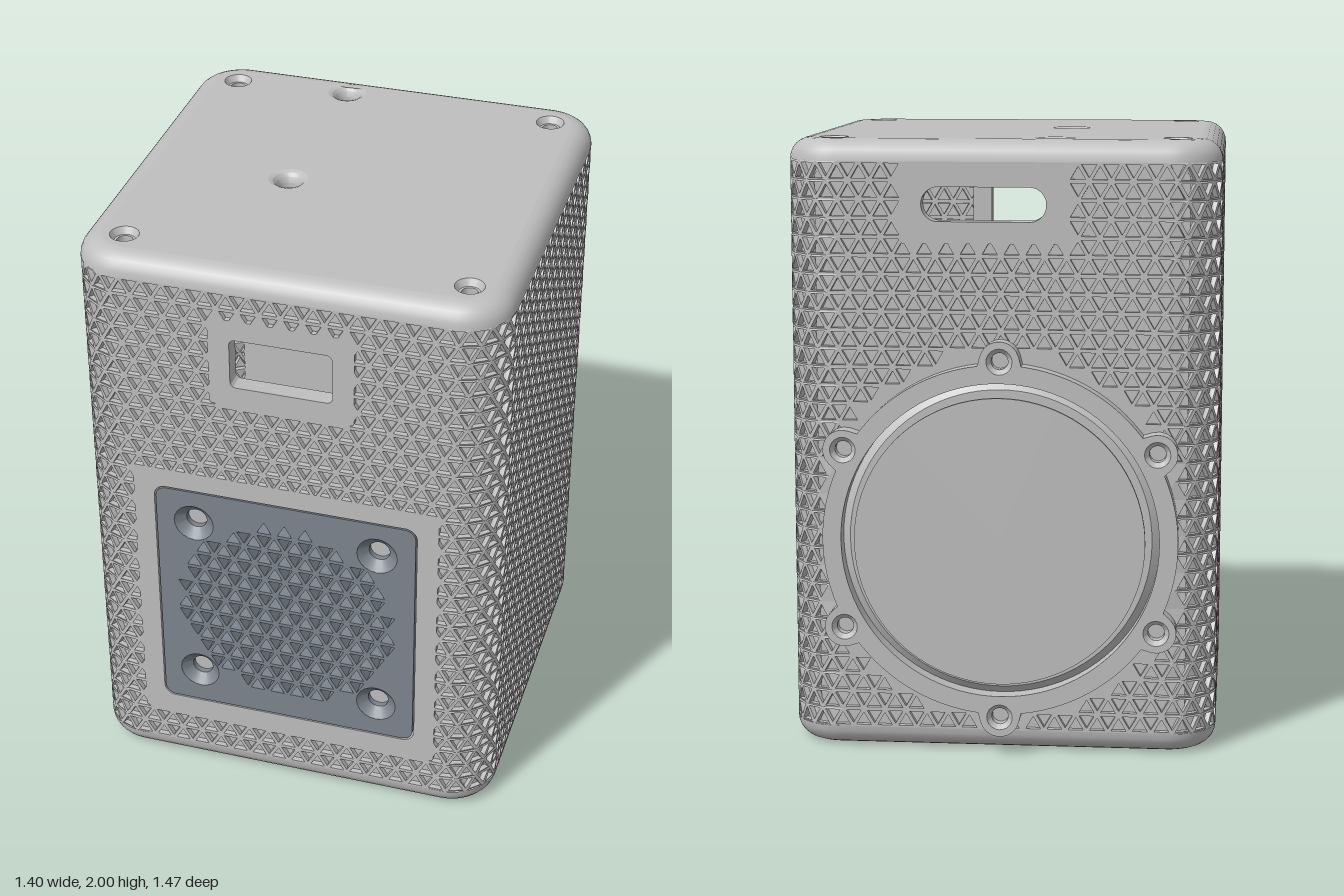
import * as THREE from 'three';
import { toCreasedNormals } from 'three/addons/utils/BufferGeometryUtils.js';

const HALF = 0.7, RAD = 0.16, FLAT = HALF - RAD, ZC = 0.035; // plan of the cabinet
const FRONT = ZC + HALF, BACK = ZC - HALF;
const QUARTER = 2 * FLAT + RAD * Math.PI / 2;
const COLS = 76, ROWS = 31, S = 4 * QUARTER / COLS, H = 0.06, Y0 = 0.07;
const RING_Y = 0.715;

// Openings in the flat faces: rectangle, corner radius, margin and wall depth
const OPENINGS = [
  { name: 'windowFrame', side: 1, x0: -0.17, x1: 0.165, y0: 1.59, y1: 1.765, r: 0.02, margin: 0.07, depth: 0.06 },
  { name: 'grilleFrame', side: 1, x0: -0.445, x1: 0.445, y0: 0.27, y1: 1.158, r: 0.04, margin: 0.07, depth: 0.05 },
  { name: 'slotFrame', side: -1, x0: -0.145, x1: 0.255, y0: 1.74, y1: 1.85, r: 0.054, margin: 0.07, depth: 0.06 },
];

// Point on the rounded-square perimeter, u running to the right seen from outside
function perimeter(u, y, inset) {
  const k = Math.floor((u + QUARTER / 2) / QUARTER);
  const t = u - k * QUARTER, s = Math.sign(t);
  const a = Math.max(0, Math.abs(t) - FLAT) / RAD;
  const x = a > 0 ? s * (FLAT + (RAD - inset) * Math.sin(a)) : t;
  const z = FLAT + (RAD - inset) * Math.cos(a);
  const c = Math.round(Math.cos(k * Math.PI / 2)), n = Math.round(Math.sin(k * Math.PI / 2));
  return new THREE.Vector3(x * c + z * n, y, ZC - x * n + z * c);
}

// Corner triples of a triangular lattice
function latticeCells(i0, i1, rows, s, h, y0) {
  const cells = [];
  for (let j = 0; j < rows; j++) {
    for (let i = i0; i < i1; i++) {
      const a = (i + (j % 2) / 2) * s, y = y0 + j * h;
      cells.push([[a, y], [a + s, y], [a + s / 2, y + h]]);
      cells.push([[a + s, y], [a + 1.5 * s, y + h], [a + s / 2, y + h]]);
    }
  }
  return cells;
}
const centre = (c) => [0, 1].map((k) => (c[0][k] + c[1][k] + c[2][k]) / 3);
const shrink = (c, f) => {
  const m = centre(c);
  return c.map((p) => p.map((v, k) => m[k] + (v - m[k]) * f));
};

function roundRect(x0, x1, y0, y1, r, Type = THREE.Shape) {
  const s = new Type(), q = Math.PI / 2;
  s.absarc(x1 - r, y0 + r, r, -q, 0);
  s.absarc(x1 - r, y1 - r, r, 0, q);
  s.absarc(x0 + r, y1 - r, r, q, 2 * q);
  s.absarc(x0 + r, y0 + r, r, 2 * q, 3 * q);
  s.closePath();
  return s;
}
function circle(x, y, r) {
  const p = new THREE.Path();
  p.absarc(x, y, r, 0, Math.PI * 2);
  return p;
}
const extrude = (shape, depth) => toCreasedNormals(
  new THREE.ExtrudeGeometry(shape, { depth, bevelEnabled: false, curveSegments: 10 }), 0.4);
const lathe = (pts, n = 32) => toCreasedNormals(
  new THREE.LatheGeometry(pts.map((p) => new THREE.Vector2(...p)), n), 0.4);

// Side walls covered with shallow triangular pockets
function texturedWalls() {
  const pos = [];
  const tri = (...p) => p.forEach((v) => pos.push(v.x, v.y, v.z));
  for (const cell of latticeCells(0, COLS, ROWS, S, H, Y0)) {
    const at = (c, inset) => c.map(([u, y]) => perimeter(u, y, inset));
    const out = at(cell, 0);
    const mid = perimeter(...centre(cell), 0);
    const side = mid.z > FRONT - 0.002 ? 1 : mid.z < BACK + 0.002 ? -1 : 0;
    let plain = side < 0 && Math.hypot(mid.x, mid.y - RING_Y) < 0.62, drop = false;
    for (const o of OPENINGS) {
      if (o.side !== side) continue;
      const xs = out.map((p) => p.x), ys = out.map((p) => p.y);
      if (Math.max(...xs) > o.x0 && Math.min(...xs) < o.x1 && Math.max(...ys) > o.y0 && Math.min(...ys) < o.y1) drop = true;
      if (mid.x > o.x0 - o.margin && mid.x < o.x1 + o.margin && mid.y > o.y0 - o.margin && mid.y < o.y1 + o.margin) plain = true;
    }
    if (drop) continue;
    if (plain) { tri(...out); continue; }
    const small = shrink(cell, 0.7), rim = at(small, 0), floor = at(small, 0.018);
    for (let k = 0; k < 3; k++) {
      const n = (k + 1) % 3;
      tri(out[k], out[n], rim[n]); tri(out[k], rim[n], rim[k]);
      tri(rim[k], rim[n], floor[n]); tri(rim[k], floor[n], floor[k]);
    }
    tri(...floor);
  }
  const g = new THREE.BufferGeometry();
  g.setAttribute('position', new THREE.Float32BufferAttribute(pos, 3));
  g.computeVertexNormals();
  return g;
}

// Rounded edge swept around the perimeter between two heights
function edgeLoft(rows) {
  const n = 240, pos = [], idx = [];
  rows.forEach(([inset, y]) => {
    for (let i = 0; i < n; i++) pos.push(...perimeter(i / n * 4 * QUARTER, y, inset).toArray());
  });
  for (let j = 0; j < rows.length - 1; j++) {
    for (let i = 0; i < n; i++) {
      const a = j * n + i, b = j * n + (i + 1) % n;
      idx.push(a, b, b + n, a, b + n, a + n);
    }
  }
  const g = new THREE.BufferGeometry();
  g.setAttribute('position', new THREE.Float32BufferAttribute(pos, 3));
  g.setIndex(idx);
  g.computeVertexNormals();
  return g;
}

export function createModel() {
  const shell = new THREE.MeshStandardMaterial({ color: 0xbfbfbf, side: THREE.DoubleSide });
  shell.name = 'lightGrey';
  const slate = new THREE.MeshStandardMaterial({ color: 0x7d858e, side: THREE.DoubleSide });
  slate.name = 'slateGrey';
  const model = new THREE.Group();
  model.name = 'speaker';
  const add = (name, geo, mat, x = 0, y = 0, z = 0) => {
    const m = new THREE.Mesh(geo, mat);
    m.name = name;
    m.position.set(x, y, z);
    model.add(m);
    return m;
  };

  // Cabinet walls and rounded edges
  add('texturedWalls', texturedWalls(), shell);
  const arc = [0, 1, 2, 3, 4, 5, 6].map((k) => k / 6 * Math.PI / 2);
  const top = arc.map((a) => [0.07 * (1 - Math.cos(a)), 1.93 + 0.07 * Math.sin(a)]);
  add('topEdge', edgeLoft(top), shell);
  add('bottomEdge', edgeLoft(top.map(([i, y]) => [i, 2 - y]).reverse()), shell);

  // Bottom and top panels, with screw wells and two dimpled holes in the top
  const cap = () => roundRect(-0.63, 0.63, -0.63, 0.63, 0.09);
  add('bottomPanel', new THREE.ShapeGeometry(cap(), 16).rotateX(Math.PI / 2), shell, 0, 0, ZC);
  const lid = cap();
  const well = lathe([[0.047, 0], [0.034, -0.022], [0.026, -0.022], [0.026, -0.05], [0, -0.05]]);
  const dimple = lathe([[0.065, 0], [0.052, -0.005], [0.042, -0.016], [0.035, -0.035], [0.035, -0.08], [0, -0.08]]);
  const drill = (name, geo, x, z, r) => {
    lid.holes.push(circle(x, ZC - z, r));
    add(name, geo, shell, x, 2, z);
  };
  for (const x of [-0.555, 0.555]) for (const z of [-0.52, 0.59]) drill('topScrewWell', well, x, z, 0.047);
  drill('rearDimple', dimple, -0.165, -0.54, 0.065);
  drill('middleDimple', dimple, -0.172, 0.105, 0.065);
  add('topPanel', new THREE.ShapeGeometry(lid, 16).rotateX(-Math.PI / 2), shell, 0, 2, ZC);

  // Flat frames around the openings
  for (const o of OPENINGS) {
    const m = o.margin;
    const s = roundRect(o.x0 - m, o.x1 + m, o.y0 - m, Math.min(o.y1 + m, 1.93), 0.01);
    s.holes.push(roundRect(o.x0, o.x1, o.y0, o.y1, o.r, THREE.Path));
    add(o.name, extrude(s, o.depth), shell, 0, 0, o.side > 0 ? FRONT - o.depth : BACK);
  }
  const board = roundRect(-0.6, 0.6, 0.1, 1.9, 0.02), slot = OPENINGS[2];
  board.holes.push(roundRect(slot.x0, slot.x1, slot.y0, slot.y1, slot.r, THREE.Path));
  add('innerBackBoard', extrude(board, 0.01), shell, 0, 0, BACK + 0.025);
  add('grillePocketFloor', new THREE.BoxGeometry(0.96, 0.96, 0.02), shell, 0, 0.714, FRONT - 0.06);

  // Front grille with triangular holes and countersunk screw holes
  const plate = roundRect(-0.44, 0.44, 0.275, 1.153, 0.037);
  for (const cell of latticeCells(-7, 7, 12, 0.07, 0.0606, 0.365)) {
    const [x, y] = centre(cell);
    if (Math.hypot(x, y - 0.71) < 0.36) {
      plate.holes.push(new THREE.Path(shrink(cell, 0.7).map((p) => new THREE.Vector2(...p))));
    }
  }
  const sink = lathe([[0.068, 0], [0.035, -0.03], [0.035, -0.05]]).rotateX(Math.PI / 2);
  for (const x of [-0.312, 0.312]) {
    for (const y of [0.405, 1.029]) {
      plate.holes.push(circle(x, y, 0.068));
      add('grilleScrewHole', sink, slate, x, y, FRONT);
    }
  }
  add('grille', extrude(plate, 0.05), slate, 0, 0, FRONT - 0.05);

  // Rear mounting ring with six screw bosses
  const D = 0.585, R = 0.065, outline = [];
  for (let i = 0; i < 360; i++) {
    const t = i / 180 * Math.PI, step = Math.PI / 3;
    const off = t - Math.PI / 6 - Math.round((t - Math.PI / 6) / step) * step;
    const q = R * R - (D * Math.sin(off)) ** 2;
    const r = Math.max(0.575, q > 0 ? D * Math.cos(off) + Math.sqrt(q) : 0);
    outline.push(new THREE.Vector2(r * Math.cos(t), r * Math.sin(t)));
  }
  const ring = new THREE.Shape(outline);
  const inner = new THREE.Path();
  for (let i = 0; i < 96; i++) {
    const t = i / 48 * Math.PI;
    inner[i ? 'lineTo' : 'moveTo'](0.515 * Math.cos(t), 0.515 * Math.sin(t));
  }
  ring.holes.push(inner);
  const bore = lathe([[0.042, 0], [0.027, -0.018], [0.027, -0.05], [0, -0.05]]).rotateX(-Math.PI / 2);
  for (let k = 0; k < 6; k++) {
    const t = Math.PI / 6 + k * Math.PI / 3, x = D * Math.cos(t), y = D * Math.sin(t);
    ring.holes.push(circle(x, y, 0.042));
    add('ringScrewHole', bore, shell, x, RING_Y + y, BACK - 0.06);
  }
  add('mountingRing', extrude(ring, 0.06), shell, 0, RING_Y, BACK - 0.06);

  // Flat radiator disc inside the ring
  const disc = lathe([[0.515, 0], [0.49, 0.02], [0.45, 0.02], [0.45, 0.06], [0.47, 0.06], [0.47, 0.073], [0, 0.073]], 96);
  add('radiatorDisc', disc.rotateX(-Math.PI / 2), shell, 0, RING_Y, BACK);
  return model;
}
